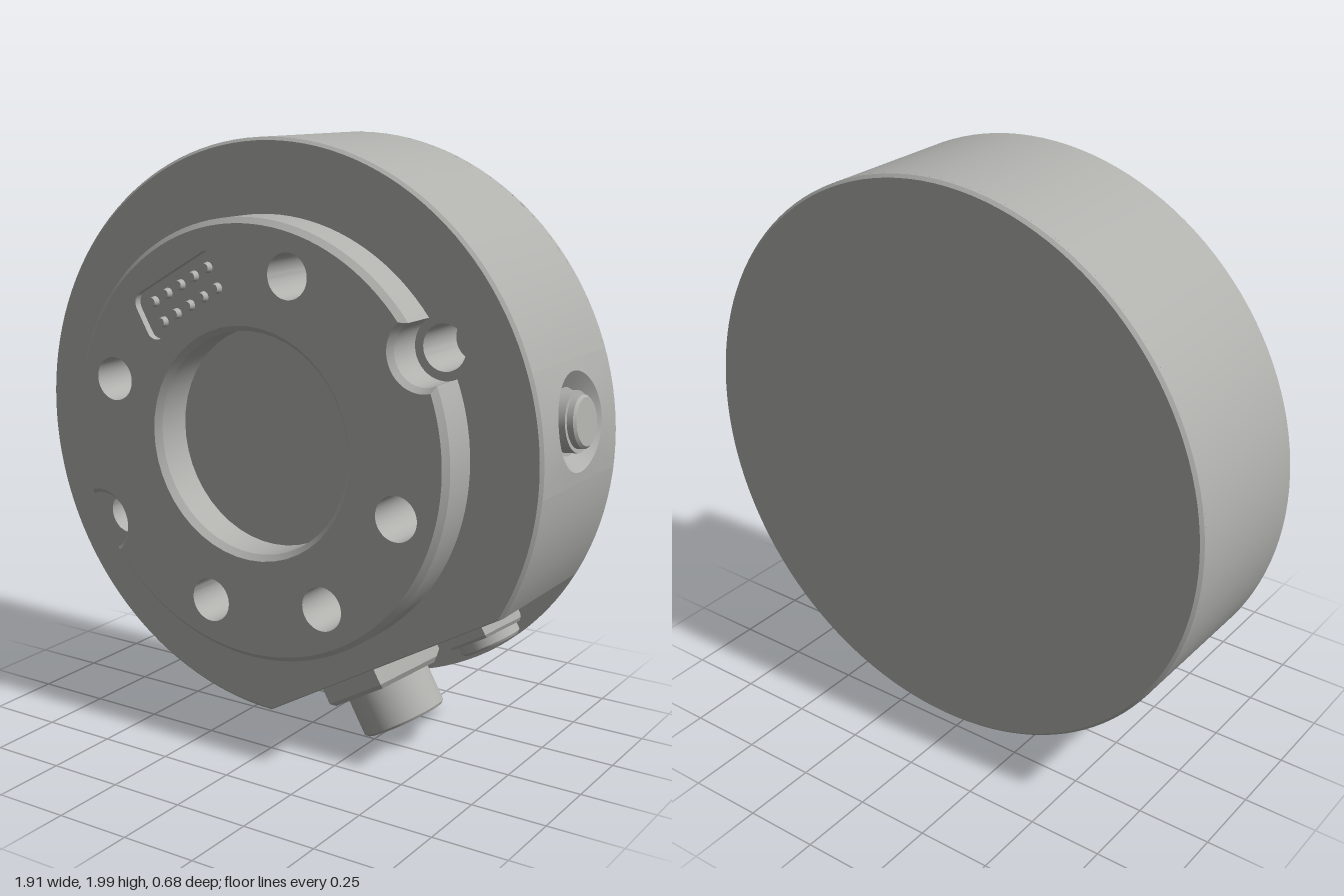
import * as THREE from 'three';
import { toCreasedNormals } from 'three/addons/utils/BufferGeometryUtils.js';

const RAD = Math.PI / 180;
const R = 0.943, FLAT = 0.806;            // body radius, distance of the connector flat
const BACK = -0.335, COVER = -0.315, FACE = 0.205, FRONT = 0.345;
const SIDE_Z = -0.065;                    // z of button and connectors
const PHI = 7 * RAD, WIN = 11.5 * RAD;    // button direction and half width of its wall panel

const metal = new THREE.MeshStandardMaterial({ color: 0xb0b0ad, side: THREE.DoubleSide });
metal.name = 'grey metal';

function add(parent, name, geometry) {
  const mesh = new THREE.Mesh(geometry, metal);
  mesh.name = name;
  parent.add(mesh);
  return mesh;
}

const polar = (r, a) => new THREE.Vector2(r * Math.cos(a), r * Math.sin(a));
const at = (pts, z) => pts.map(p => new THREE.Vector3(p.x, p.y, z));

function arc(r, a0, a1, n, c = new THREE.Vector2()) {
  return Array.from({ length: n + 1 }, (_, i) => polar(r, a0 + (a1 - a0) * i / n).add(c));
}
const circle = (r, c) => arc(r, 0, 2 * Math.PI, 48, c).slice(0, -1);

// Surface between successive loops of equal length
function loft(loops, closed = true) {
  const n = loops[0].length, pos = [], idx = [];
  loops.forEach(l => l.forEach(p => pos.push(p.x, p.y, p.z)));
  for (let k = 0; k + 1 < loops.length; k++) {
    for (let i = 0; i < (closed ? n : n - 1); i++) {
      const j = (i + 1) % n, a = k * n, b = a + n;
      idx.push(a + i, a + j, b + i, a + j, b + j, b + i);
    }
  }
  const g = new THREE.BufferGeometry();
  g.setAttribute('position', new THREE.Float32BufferAttribute(pos, 3));
  g.setIndex(idx);
  return toCreasedNormals(g, 0.5);
}

function cap(pts, z, holes = []) {
  const s = new THREE.Shape(pts);
  s.holes = holes.map(h => new THREE.Path(h));
  return new THREE.ShapeGeometry(s).translate(0, 0, z);
}

// Walls and floor of a pocket, seen from +z
function pocket(parent, name, pts, zTop, zFloor) {
  const inner = [...pts].reverse();
  add(parent, name + 'Wall', loft([at(inner, zFloor), at(inner, zTop)]));
  add(parent, name + 'Floor', cap(pts, zFloor));
}

function lathe(profile, seg = 48) {
  return toCreasedNormals(new THREE.LatheGeometry(profile.map(p => new THREE.Vector2(...p)), seg), 0.5);
}

// Circle with one flat; the last points span the button panel
function bodyOutline(r, d) {
  const a = Math.acos(d / r);
  const wall = [...arc(r, PHI + WIN, 300 * RAD - a, 90), ...arc(r, -60 * RAD + a, PHI - WIN, 12)];
  return { wall, all: [...wall, ...arc(r, PHI - WIN, PHI + WIN, 16).slice(1, -1)] };
}

// Boss circle with two round notches
function bossOutline(r, notch) {
  const d = 0.706, a = Math.acos((r * r + d * d - notch * notch) / (2 * r * d));
  const dirs = [29.5 * RAD, 209.5 * RAD], pts = [];
  dirs.forEach((t, k) => {
    const next = t + Math.PI;
    pts.push(...arc(r, t + a, next - a, 56));
    const c = polar(d, next), p = polar(r, next - a).sub(c);
    const beta = Math.PI - Math.acos(-(p.dot(polar(1, next))) / notch);
    pts.push(...arc(notch, next - beta, next - 2 * Math.PI + beta, 20, c).slice(1, -1));
  });
  return pts;
}

function roundedRect(w, h, r, angle, c) {
  const pts = [];
  [[1, 1], [-1, 1], [-1, -1], [1, -1]].forEach(([sx, sy], k) => pts.push(
    ...arc(r, k * Math.PI / 2, (k + 1) * Math.PI / 2, 6, new THREE.Vector2(sx * (w / 2 - r), sy * (h / 2 - r)))));
  return pts.map(p => p.rotateAround(new THREE.Vector2(), angle).add(c));
}

// Socket on the flat: hex nut, hollow sleeve and contact pins
function connector(name, along, nutR, nutH, sleeveR, sleeveH, boreR, floorH, rings, pinR) {
  const g = new THREE.Group();
  g.name = name;
  const p = polar(FLAT, -60 * RAD).add(polar(along, 30 * RAD));
  g.position.set(p.x, p.y, SIDE_Z);
  g.rotation.z = -150 * RAD;
  const hex = (top, bottom, h, y) => toCreasedNormals(
    new THREE.CylinderGeometry(top, bottom, h, 6).rotateY(Math.PI / 6).translate(0, y + h / 2, 0), 0.2);
  add(g, 'hexNut', hex(nutR, nutR, nutH * 0.8, 0));
  add(g, 'nutChamfer', hex(nutR * 0.92, nutR, nutH * 0.2, nutH * 0.8));
  add(g, 'sleeve', lathe([[sleeveR, 0], [sleeveR, sleeveH - 0.008], [sleeveR - 0.008, sleeveH],
    [boreR, sleeveH], [boreR, floorH], [0, floorH]]));
  rings.forEach(([count, r]) => {
    for (let i = 0; i < count; i++) {
      const q = polar(r, (i + 0.5) / count * 2 * Math.PI), h = sleeveH - floorH - 0.002;
      add(g, 'contactPin', new THREE.CylinderGeometry(pinR, pinR, h, 12).translate(q.x, floorH + h / 2, q.y));
    }
  });
  return g;
}

export function createModel() {
  const root = new THREE.Group();
  root.name = 'ringModule';
  const g = new THREE.Group();
  g.name = 'housing';
  g.position.set(-0.015, 1.055, 0);
  root.add(g);

  // Mounting holes: five through the boss, two in its notches
  const bolts = [74.5, 164, -106, -60.5, -16].map(a => circle(0.072, polar(0.56, a * RAD)));
  const notchHoles = [29.5, 209.5].map(a => circle(0.072, polar(0.706, a * RAD)));

  // Body with flat and chamfered front edge
  const full = bodyOutline(R, FLAT), small = bodyOutline(R - 0.01, FLAT - 0.004);
  const edge = FACE - 0.01;
  add(g, 'bodyWall', loft([at(full.wall, COVER), at(full.wall, edge)], false));
  add(g, 'bodyChamfer', loft([at(full.all, edge), at(small.all, FACE)]));
  add(g, 'bodyFace', cap(small.all, FACE, [...bolts, ...notchHoles]));

  // Full round back cover
  const cover = lathe([[0, BACK], [R - 0.01, BACK], [R, BACK + 0.01], [R, COVER], [0, COVER]], 128);
  add(g, 'backCover', cover.rotateX(Math.PI / 2));

  // Boss with notches, chamfer and central bore
  const bossOut = bossOutline(0.708, 0.1), bossIn = bossOutline(0.69, 0.116);
  add(g, 'bossWall', loft([at(bossOut, FACE), at(bossOut, FRONT - 0.018)]));
  add(g, 'bossChamfer', loft([at(bossOut, FRONT - 0.018), at(bossIn, FRONT)]));
  const bore = circle(0.358).reverse(), boreEdge = circle(0.376).reverse();
  add(g, 'boreWall', loft([at(bore, FACE), at(bore, FRONT - 0.02)]));
  add(g, 'boreChamfer', loft([at(bore, FRONT - 0.02), at(boreEdge, FRONT)]));
  const padCentre = new THREE.Vector2(-0.255, 0.45);
  const pad = roundedRect(0.37, 0.165, 0.04, 30 * RAD, padCentre);
  add(g, 'bossFace', cap(bossIn, FRONT, [boreEdge, pad, ...bolts]));
  bolts.forEach(h => pocket(g, 'boltHole', h, FRONT, 0.08));
  notchHoles.forEach(h => pocket(g, 'notchHole', h, FACE, 0.0));

  // Contact pad: shallow recess with two rows of pins
  pocket(g, 'contactPad', pad, FRONT, FRONT - 0.025);
  for (let i = -2; i <= 2; i++) {
    for (const row of [-1, 1]) {
      const p = new THREE.Vector2(i * 0.062, row * 0.036).rotateAround(new THREE.Vector2(), 30 * RAD).add(padCentre);
      const pin = add(g, 'padContact', new THREE.CylinderGeometry(0.014, 0.018, 0.02, 16).rotateX(Math.PI / 2));
      pin.position.set(p.x, p.y, FRONT - 0.015);
    }
  }

  // Wall panel with a countersink for the side button
  const bend = (s, z) => new THREE.Vector3(R * Math.cos(PHI + s / R), R * Math.sin(PHI + s / R), z);
  const panel = [], rim = [], seat = [], half = WIN * R;
  const radial = new THREE.Vector3(Math.cos(PHI), Math.sin(PHI), 0);
  const tangent = new THREE.Vector3(-Math.sin(PHI), Math.cos(PHI), 0);
  for (let side = 0; side < 4; side++) {
    for (let k = 0; k < 16; k++) {
      const q = new THREE.Vector2(1, -1 + k / 8).rotateAround(new THREE.Vector2(), side * Math.PI / 2);
      const t = q.clone().normalize();
      panel.push(bend(q.x * half, (COVER + edge) / 2 + q.y * (edge - COVER) / 2));
      rim.push(bend(t.x * 0.155, SIDE_Z + t.y * 0.155));
      seat.push(radial.clone().multiplyScalar(0.895).addScaledVector(tangent, t.x * 0.105)
        .setZ(SIDE_Z + t.y * 0.105));
    }
  }
  add(g, 'buttonPanel', loft([panel, rim]));
  add(g, 'buttonCountersink', loft([rim, seat]));
  const button = add(g, 'sideButton', lathe([[0.11, 0.895], [0.095, 0.895], [0.095, 0.935], [0.082, 0.935],
    [0.082, 0.955], [0.074, 0.963], [0, 0.963]]));
  button.position.z = SIDE_Z;
  button.rotation.z = PHI - Math.PI / 2;

  // Connectors on the flat
  g.add(connector('largeConnector', -0.193, 0.225, 0.075, 0.145, 0.217, 0.122, 0.18,
    [[11, 0.092], [6, 0.05], [1, 0]], 0.016));
  g.add(connector('smallConnector', 0.247, 0.142, 0.05, 0.102, 0.086, 0.085, 0.06, [[4, 0.045]], 0.02));

  return root;
}
